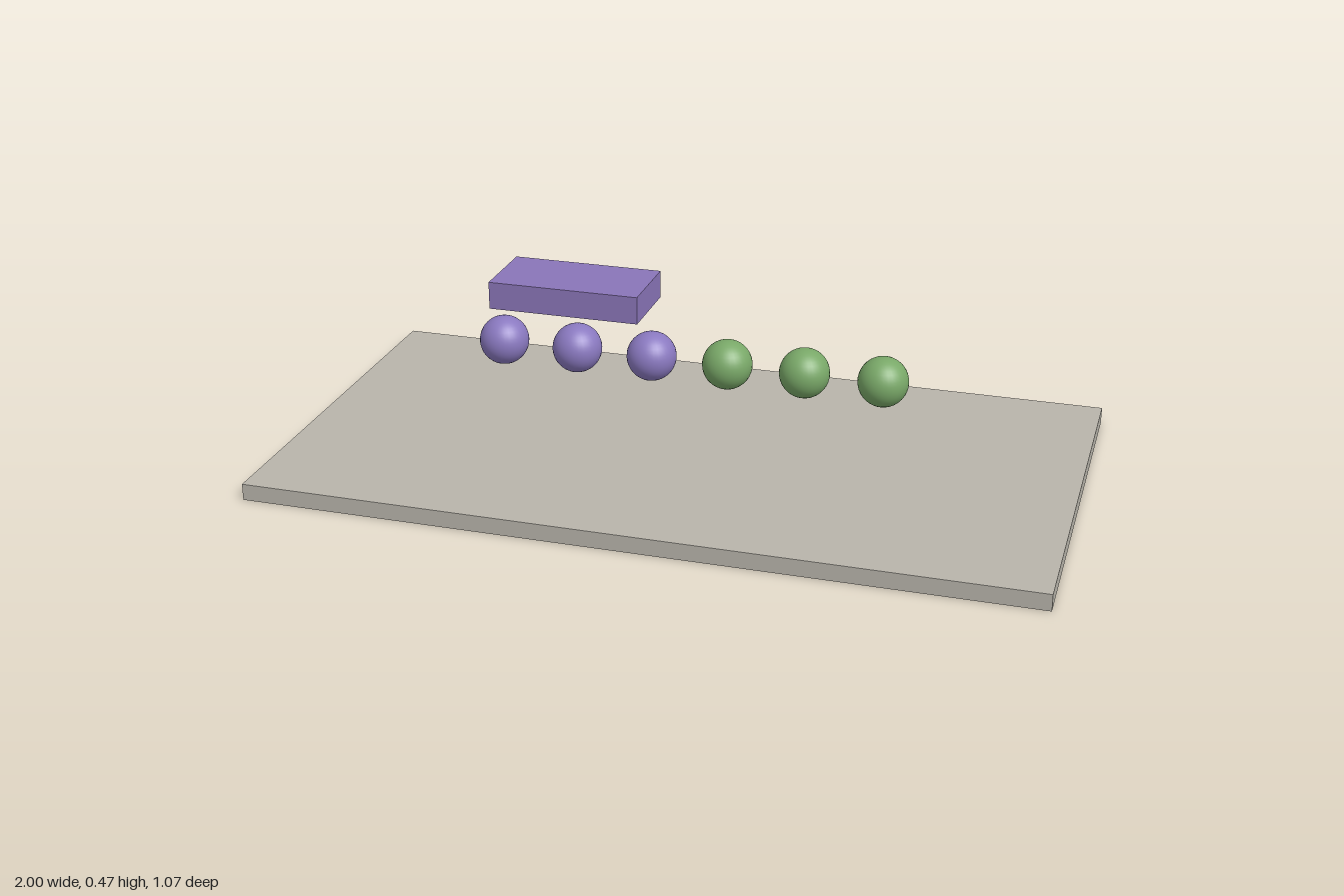
import * as THREE from 'three';

const material = (name, color) => {
  const m = new THREE.MeshStandardMaterial({ color });
  m.name = name;
  return m;
};

export function createModel() {
  const model = new THREE.Group();
  model.name = 'beadBoard';

  const stone = material('warm grey', 0xb8b4ab);
  const violet = material('violet', 0x8a75b8);
  const lilac = material('lilac', 0x8a79c0);
  const green = material('leaf green', 0x79a868);

  const add = (name, geometry, mat, x, y, z) => {
    const mesh = new THREE.Mesh(geometry, mat);
    mesh.name = name;
    mesh.position.set(x, y, z);
    model.add(mesh);
  };

  // Flat base board
  add('baseBoard', new THREE.BoxGeometry(2, 0.043, 1.066), stone, 0, 0.0215, 0);

  // Row of six floating balls: three lilac, three green
  const ball = new THREE.SphereGeometry(0.064, 32, 20);
  for (let i = 0; i < 6; i++) {
    add(i < 3 ? 'lilacBall' : 'greenBall', ball, i < 3 ? lilac : green, -0.5 + i * 0.2, 0.28, 0);
  }

  // Block hovering over the lilac balls
  add('hoveringBlock', new THREE.BoxGeometry(0.392, 0.071, 0.2), violet, -0.302, 0.4385, 0);

  return model;
}
